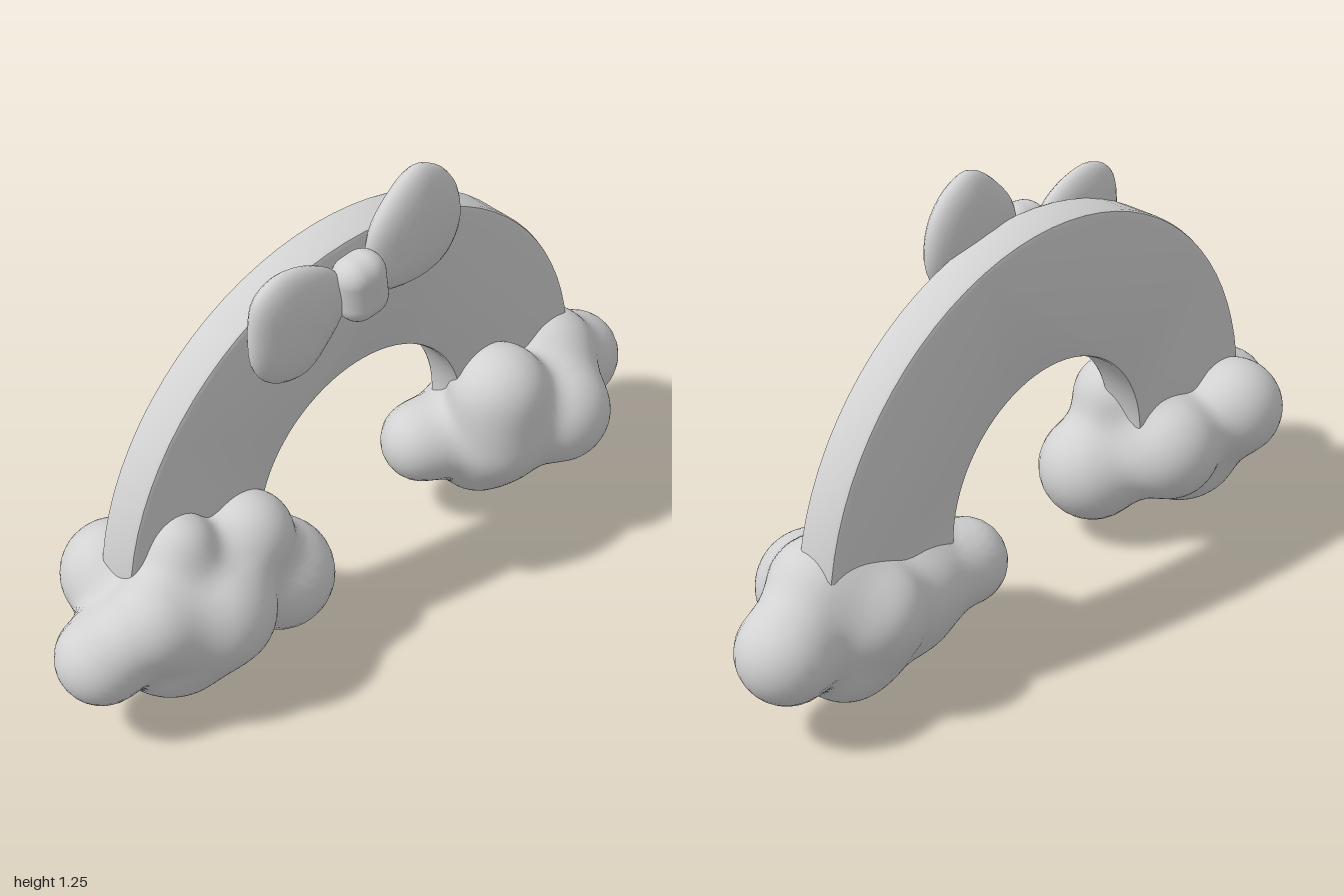
import * as THREE from 'three';
import { mergeVertices, toCreasedNormals } from 'three/addons/utils/BufferGeometryUtils.js';
import { RoundedBoxGeometry } from 'three/addons/geometries/RoundedBoxGeometry.js';

const gray = new THREE.MeshStandardMaterial({ color: 0xd2d2d2 });
gray.name = 'light gray';

function part(name, geometry) {
  const mesh = new THREE.Mesh(geometry, gray);
  mesh.name = name;
  return mesh;
}

// Drop uv seams so that normals run smoothly around the whole surface.
function smoothClosed(geometry) {
  geometry.deleteAttribute('uv');
  geometry.deleteAttribute('normal');
  const merged = mergeVertices(geometry, 1e-5);
  merged.computeVertexNormals();
  return merged;
}

// Half ring with softly bevelled edges; the ends sit inside the clouds.
function archGeometry() {
  const bevel = 0.012, base = 0.28, outerY = 0.317, innerY = 0.352;
  const outer = 0.785 - bevel, inner = 0.357 + bevel;
  const shape = new THREE.Shape();
  shape.moveTo(outer, base);
  shape.absarc(0, outerY, outer, 0, Math.PI, false);
  shape.lineTo(-outer, base);
  shape.lineTo(-inner, base);
  shape.absarc(0, innerY, inner, Math.PI, 0, true);
  shape.lineTo(inner, base);
  const geometry = new THREE.ExtrudeGeometry(shape, {
    depth: 0.12 - 2 * bevel, curveSegments: 20,
    bevelEnabled: true, bevelSize: bevel, bevelThickness: bevel, bevelSegments: 2,
  });
  geometry.translate(0, 0, -0.1 + bevel);
  return toCreasedNormals(geometry, 0.7);
}

// Cloud: a sphere skin pulled onto a soft union of puffs [x, y, z, radius].
function cloudGeometry(centre, puffs) {
  const blend = 0.07;
  const distance = (p) => {
    let d = 10;
    for (const [x, y, z, r] of puffs) {
      const e = Math.hypot(p.x - x, p.y - y, p.z - z) - r;
      const h = Math.max(blend - Math.abs(d - e), 0) / blend;
      d = Math.min(d, e) - h * h * blend / 4;
    }
    return d;
  };
  const geometry = new THREE.SphereGeometry(1, 96, 64);
  const pos = geometry.attributes.position;
  const dir = new THREE.Vector3(), p = new THREE.Vector3();
  for (let i = 0; i < pos.count; i++) {
    dir.fromBufferAttribute(pos, i).normalize();
    let t = 0.7;
    for (let step = 0; step < 80; step++) {
      const d = distance(p.copy(centre).addScaledVector(dir, t));
      if (d < 0.0005 || t < 0.05) break;
      t -= d * 0.9;
    }
    p.copy(centre).addScaledVector(dir, t);
    pos.setXYZ(i, p.x, p.y, p.z);
  }
  return smoothClosed(geometry);
}

// Bow loop: a cushion whose rim follows a counter-clockwise outline in the xy plane.
function loopGeometry(outline, cx, cy, cz, halfDepth) {
  const curve = new THREE.CatmullRomCurve3(
    outline.map(([x, y]) => new THREE.Vector3(x, y, 0)), true);
  const around = 36, rows = 14;
  const rim = curve.getPoints(around);
  const positions = [], index = [];
  for (let j = 0; j <= rows; j++) {
    const a = (j / rows) * Math.PI;
    const s = Math.pow(Math.sin(a), 0.85);
    for (let i = 0; i < around; i++) {
      positions.push(cx + (rim[i].x - cx) * s, cy + (rim[i].y - cy) * s,
        cz - Math.cos(a) * halfDepth);
      if (j < rows) {
        const k = j * around + i, n = j * around + (i + 1) % around;
        index.push(k, n, n + around, k, n + around, k + around);
      }
    }
  }
  const geometry = new THREE.BufferGeometry();
  geometry.setAttribute('position', new THREE.Float32BufferAttribute(positions, 3));
  geometry.setIndex(index);
  return smoothClosed(geometry);
}

export function createModel() {
  const model = new THREE.Group();
  model.name = 'rainbowWithClouds';
  model.add(part('arch', archGeometry()));

  model.add(part('rightCloud', cloudGeometry(new THREE.Vector3(-0.62, 0.26, 0.01), [
    [-0.88, 0.24, 0.02, 0.12],
    [-0.65, 0.18, 0.0, 0.18],
    [-0.59, 0.28, 0.11, 0.155],
    [-0.75, 0.33, 0.08, 0.125],
    [-0.63, 0.455, 0.03, 0.093],
    [-0.43, 0.39, 0.05, 0.12],
    [-0.335, 0.205, 0.05, 0.15],
    [-0.71, 0.31, -0.14, 0.14],
    [-0.47, 0.27, -0.105, 0.145],
  ])));

  model.add(part('leftCloud', cloudGeometry(new THREE.Vector3(0.59, 0.25, 0), [
    [0.865, 0.25, -0.03, 0.13],
    [0.72, 0.35, 0.0, 0.135],
    [0.64, 0.26, 0.12, 0.148],
    [0.67, 0.16, -0.02, 0.14],
    [0.56, 0.2, 0.0, 0.15],
    [0.45, 0.165, 0.0, 0.13],
    [0.45, 0.39, 0.07, 0.14],
    [0.44, 0.26, 0.08, 0.135],
    [0.285, 0.24, -0.055, 0.115],
    [0.63, 0.28, -0.095, 0.13],
    [0.45, 0.25, -0.05, 0.125],
  ])));

  const bow = new THREE.Group();
  bow.name = 'bow';
  bow.add(part('rightBowLoop', loopGeometry([
    [-0.10, 0.96], [-0.12, 1.05], [-0.2, 1.11], [-0.31, 1.13], [-0.38, 1.09],
    [-0.4, 0.99], [-0.39, 0.89], [-0.34, 0.83], [-0.24, 0.81], [-0.16, 0.87],
  ], -0.28, 0.98, 0.05, 0.05)));
  bow.add(part('leftBowLoop', loopGeometry([
    [-0.02, 0.98], [0.0, 0.945], [0.13, 0.92], [0.23, 0.95], [0.28, 1.03],
    [0.27, 1.14], [0.21, 1.22], [0.13, 1.25], [0.03, 1.18], [-0.02, 1.1],
  ], 0.14, 1.08, 0.055, 0.053)));
  const knot = part('bowKnot', new RoundedBoxGeometry(0.14, 0.18, 0.115, 5, 0.055));
  knot.position.set(-0.065, 1.0, 0.072);
  knot.rotation.z = 0.12;
  bow.add(knot);
  model.add(bow);
  return model;
}
